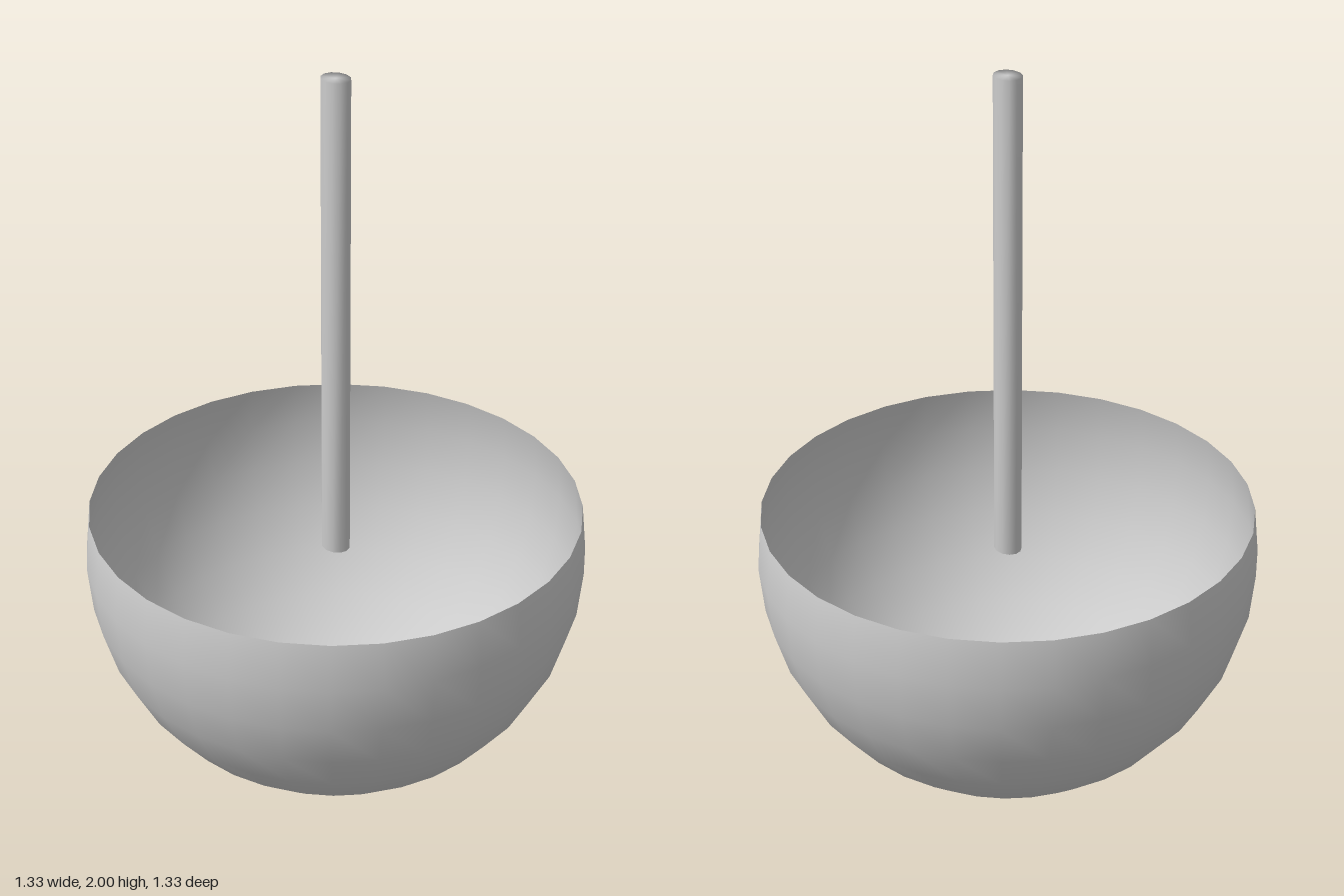
import * as THREE from 'three';
import { mergeVertices } from 'three/addons/utils/BufferGeometryUtils.js';

const R = 2 / 3; // bowl radius, also the height of its centre

export function createModel() {
  const group = new THREE.Group();

  // Thin open bowl: a sphere cut one ring above its equator
  const bowl = new THREE.Mesh(
    new THREE.SphereGeometry(R, 32, 9, 0, Math.PI * 2, Math.PI * 7 / 16, Math.PI * 9 / 16),
    new THREE.MeshStandardMaterial({ color: 0xcccccc, side: THREE.DoubleSide })
  );
  bowl.name = 'bowl';
  bowl.position.y = R;
  group.add(bowl);

  // Slightly oval rod rising from the bowl's centre, shaded smoothly over its ends
  let rodGeometry = new THREE.CylinderGeometry(1, 1, 2 * R, 12);
  rodGeometry.scale(0.041, 1, 0.035);
  rodGeometry.deleteAttribute('normal');
  rodGeometry.deleteAttribute('uv');
  rodGeometry = mergeVertices(rodGeometry);
  rodGeometry.computeVertexNormals();
  const rod = new THREE.Mesh(rodGeometry, new THREE.MeshStandardMaterial({ color: 0xcccccc }));
  rod.name = 'rod';
  rod.position.y = 2 * R;
  group.add(rod);

  return group;
}
